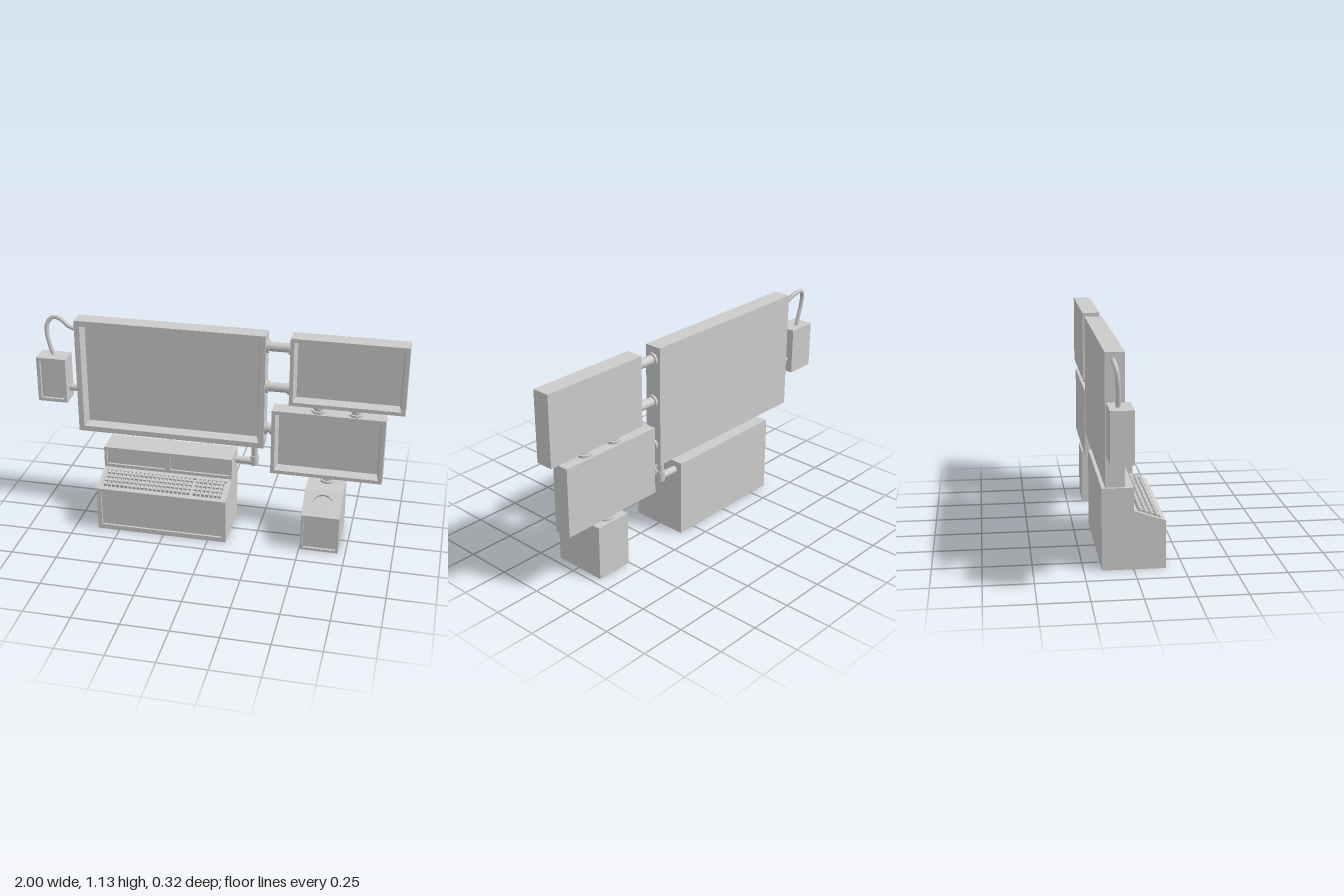
import * as THREE from 'three';
import { mergeGeometries } from 'three/addons/utils/BufferGeometryUtils.js';

const flat = new THREE.MeshStandardMaterial({ color: 0xcccccc, flatShading: true, side: THREE.DoubleSide });
const smooth = new THREE.MeshStandardMaterial({ color: 0xcccccc });

function add(parent, name, geometry, material = flat) {
  const mesh = new THREE.Mesh(geometry, material);
  mesh.name = name;
  parent.add(mesh);
  return mesh;
}

// Box with a recessed front, lofted through rectangular rings [inset, z]
function recessedBox(x0, x1, y0, y1, zBack, zFront, border, slope, depth) {
  const rings = [[0, zBack], [0, zFront], [border, zFront], [border + slope, zFront - depth]]
    .map(([i, z]) => [[x0 + i, y0 + i, z], [x1 - i, y0 + i, z], [x1 - i, y1 - i, z], [x0 + i, y1 - i, z]]);
  const pos = [];
  const quad = (a, b, c, d) => pos.push(...a, ...b, ...c, ...a, ...c, ...d);
  for (let r = 0; r < 3; r++) {
    for (let k = 0; k < 4; k++) {
      const n = (k + 1) % 4;
      quad(rings[r][k], rings[r][n], rings[r + 1][n], rings[r + 1][k]);
    }
  }
  quad(...rings[3]);
  quad(rings[0][3], rings[0][2], rings[0][1], rings[0][0]);
  const g = new THREE.BufferGeometry();
  g.setAttribute('position', new THREE.Float32BufferAttribute(pos, 3));
  g.computeVertexNormals();
  return g;
}

const rectPath = (x0, x1, y0, y1) => new THREE.Path(
  [[x0, y0], [x0, y1], [x1, y1], [x1, y0]].map(p => new THREE.Vector2(...p)));

// Cabinet with a side profile of [z, y] points; holes[i] are recesses in face i
function cabinet(name, x0, x1, profile, holes, depth) {
  const g = new THREE.Group();
  g.name = name;
  g.faces = [];
  const side = new THREE.Shape(profile.map(p => new THREE.Vector2(...p)));
  for (const x of [x0, x1]) {
    const cap = add(g, 'cabinetSide', new THREE.ShapeGeometry(side));
    cap.rotation.y = -Math.PI / 2;
    cap.position.x = x;
  }
  const faces = profile.map((p, i) => {
    const q = profile[(i + 1) % profile.length];
    const dz = q[0] - p[0], dy = q[1] - p[1], len = Math.hypot(dz, dy);
    const face = new THREE.Group();
    face.name = 'cabinetFace';
    face.position.set(x0, p[1], p[0]);
    face.rotation.x = Math.atan2(dz, dy);
    g.add(face);
    const shape = new THREE.Shape(rectPath(0, x1 - x0, 0, len).getPoints());
    if (!holes[i]) {
      add(face, 'plainPanel', new THREE.ShapeGeometry(shape));
      return face;
    }
    shape.holes = holes[i];
    add(face, 'panelFrame', new THREE.ExtrudeGeometry(shape, { depth, bevelEnabled: false, curveSegments: 6 }))
      .position.z = -depth;
    for (const h of holes[i]) {
      add(face, 'recessFloor', new THREE.ShapeGeometry(new THREE.Shape(h.getPoints(6)))).position.z = -depth;
    }
    return face;
  });
  delete g.faces;
  return { group: g, faces };
}

// Straight pipe between two points, optionally flanged at both ends
function pipe(parent, name, a, b, r, flange = 0) {
  const A = new THREE.Vector3(...a), B = new THREE.Vector3(...b);
  const len = A.distanceTo(B), t = 0.012;
  const g = new THREE.Group();
  g.name = name;
  g.position.copy(A).lerp(B, 0.5);
  g.quaternion.setFromUnitVectors(new THREE.Vector3(0, 1, 0), B.clone().sub(A).normalize());
  add(g, 'pipe', new THREE.CylinderGeometry(r, r, len, 16), smooth);
  if (flange) {
    for (const s of [-1, 1]) {
      add(g, 'flange', new THREE.CylinderGeometry(flange, flange, t, 16), smooth).position.y = s * (len - t) / 2;
    }
  }
  parent.add(g);
}

export function createModel() {
  const model = new THREE.Group();
  model.name = 'controlStation';
  const Z = -0.11;

  // Screens and the wall box
  add(model, 'mainScreen', recessedBox(-0.78, 0.26, 0.48, 1.13, -0.16, -0.065, 0.03, 0.015, 0.05));
  add(model, 'upperScreen', recessedBox(0.39, 1, 0.75, 1.13, -0.16, -0.065, 0.02, 0.013, 0.05));
  add(model, 'lowerScreen', recessedBox(0.3, 0.905, 0.335, 0.71, -0.16, -0.065, 0.02, 0.013, 0.05));
  add(model, 'junctionBox', recessedBox(-1, -0.835, 0.65, 0.905, -0.16, -0.047, 0.018, 0.004, 0.008));

  // Console: front panel, keyboard slope, two upper displays
  const console_ = cabinet('console', -0.62, 0.1,
    [[0.16, 0], [0.16, 0.25], [0, 0.305], [0, 0.425], [-0.16, 0.425], [-0.16, 0]],
    [[rectPath(0.022, 0.698, 0.027, 0.222)],
      [rectPath(0.022, 0.698, 0.024, 0.148)],
      [rectPath(0.015, 0.345, 0.018, 0.105), rectPath(0.375, 0.705, 0.018, 0.105)]], 0.012);
  model.add(console_.group);

  // Keys, with a gap before the number block
  const keys = [];
  for (let row = 0; row < 4; row++) {
    for (let col = 0; col < 28; col++) {
      const key = new THREE.BoxGeometry(0.016, 0.02, 0.022);
      key.translate(0.04 + col * 0.0232 + (col > 20 ? 0.012 : 0), 0.042 + row * 0.029, -0.002);
      keys.push(key);
    }
  }
  add(console_.faces[1], 'keys', mergeGeometries(keys));

  // Pedestal with a front panel and a round port in its slope
  const port = new THREE.Path();
  port.absarc(0.103, 0.083, 0.054, 0, Math.PI * 2, true);
  const pedestal = cabinet('pedestal', 0.505, 0.71,
    [[0.138, 0], [0.138, 0.212], [0, 0.3], [-0.16, 0.3], [-0.16, 0]],
    [[rectPath(0.014, 0.191, 0.014, 0.198)], [port]], 0.014);
  model.add(pedestal.group);

  // Flanged pipes between the screens and the pedestal
  for (const y of [0.83, 1.06]) pipe(model, 'screenArm', [0.26, y, Z], [0.39, y, Z], 0.025, 0.035);
  pipe(model, 'lowerArm', [0.26, 0.585, Z], [0.3, 0.585, Z], 0.025, 0.035);
  for (const x of [0.545, 0.745]) pipe(model, 'screenLink', [x, 0.71, Z], [x, 0.75, Z], 0.026, 0.038);
  pipe(model, 'pedestalLink', [0.61, 0.3, Z], [0.61, 0.335, Z], 0.026, 0.038);
  pipe(model, 'boxArm', [-0.835, 0.72, Z], [-0.78, 0.72, Z], 0.02);

  // Elbow pipe from the main screen to the console
  pipe(model, 'elbowDrop', [0.205, 0.4, Z], [0.205, 0.48, Z], 0.017);
  pipe(model, 'elbowCorner', [0.205, 0.354, Z], [0.205, 0.41, Z], 0.023);
  pipe(model, 'elbowRun', [0.1, 0.375, Z], [0.205, 0.375, Z], 0.02);

  // Cable looping from the main screen to the box
  const path = new THREE.CatmullRomCurve3([
    [-0.775, 1.062, -0.11], [-0.82, 1.073, -0.115], [-0.875, 1.108, -0.13], [-0.92, 1.116, -0.135],
    [-0.951, 1.08, -0.125], [-0.953, 1.02, -0.118], [-0.938, 0.955, -0.115], [-0.923, 0.9, -0.115],
  ].map(p => new THREE.Vector3(...p)));
  add(model, 'cable', new THREE.TubeGeometry(path, 14, 0.012, 8), smooth);

  return model;
}
